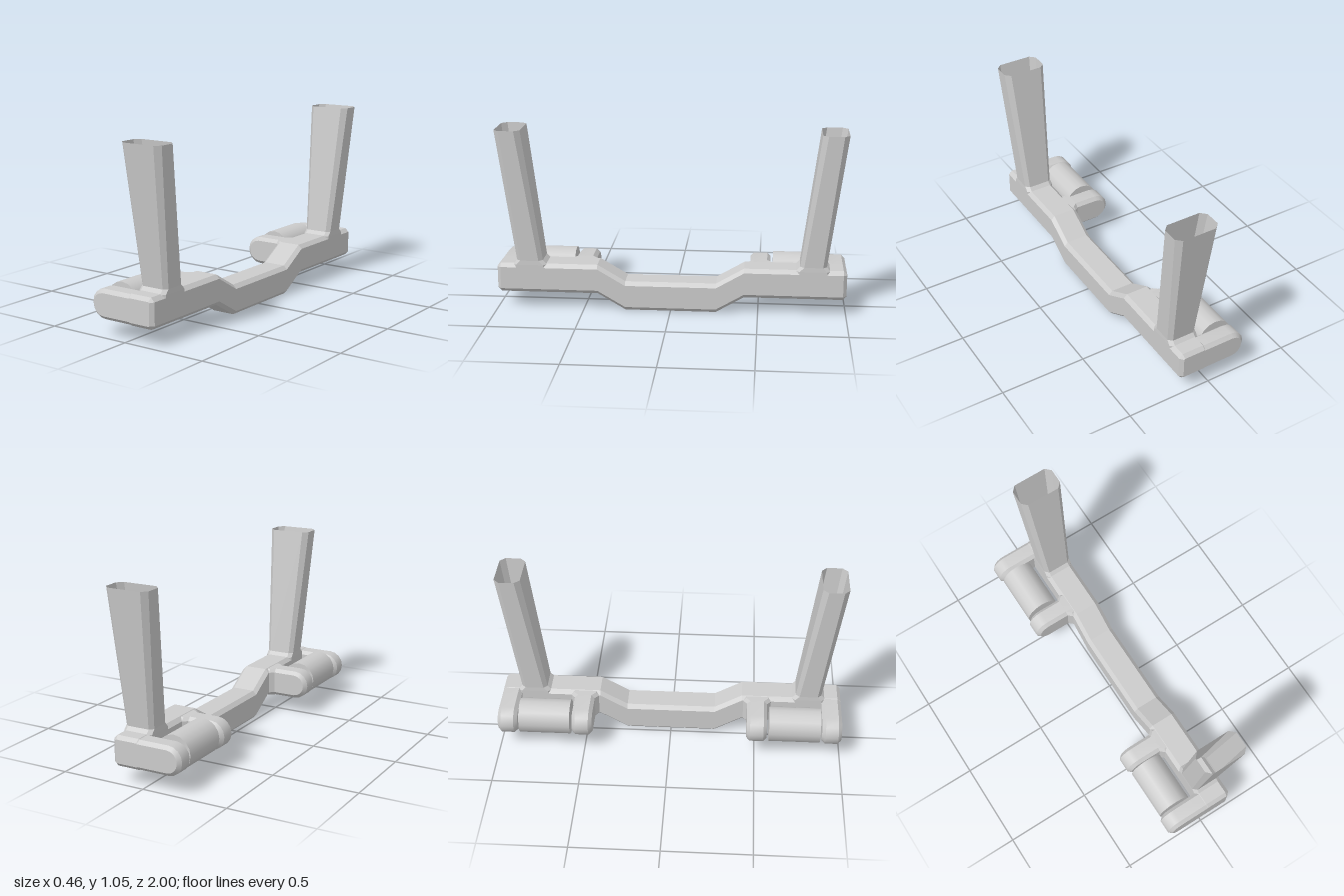
import * as THREE from 'three';
import { toCreasedNormals } from 'three/addons/utils/BufferGeometryUtils.js';

// Rectangle with cut corners, counter-clockwise
function octagon(hx, hy, c) {
  return [[hx, -hy + c], [hx, hy - c], [hx - c, hy], [-hx + c, hy],
    [-hx, hy - c], [-hx, -hy + c], [-hx + c, -hy], [hx - c, -hy]];
}

// Skin a list of equal-length rings of Vector3, flat shaded, with optional caps
function loft(rings, capped) {
  const pos = [];
  const tri = (a, b, c) => [a, b, c].forEach((v) => pos.push(v.x, v.y, v.z));
  const n = rings[0].length;
  for (let i = 0; i + 1 < rings.length; i++) {
    for (let j = 0; j < n; j++) {
      const k = (j + 1) % n;
      tri(rings[i][j], rings[i][k], rings[i + 1][k]);
      tri(rings[i][j], rings[i + 1][k], rings[i + 1][j]);
    }
  }
  if (capped) {
    const first = rings[0], last = rings[rings.length - 1];
    for (let j = 1; j + 1 < n; j++) {
      tri(first[0], first[j + 1], first[j]);
      tri(last[0], last[j], last[j + 1]);
    }
  }
  const g = new THREE.BufferGeometry();
  g.setAttribute('position', new THREE.Float32BufferAttribute(pos, 3));
  g.computeVertexNormals();
  return g;
}

export function createModel() {
  const model = new THREE.Group();
  const grey = new THREE.MeshStandardMaterial({ color: 0xcccccc });
  const thin = new THREE.MeshStandardMaterial({ color: 0xcccccc, side: THREE.DoubleSide });
  const add = (name, geometry, material = grey) => {
    const mesh = new THREE.Mesh(geometry, material);
    mesh.name = name;
    model.add(mesh);
    return mesh;
  };

  // Dropped beam running front to back: [z, centre y, inset]
  const half = [[0.26, 0.087, 0], [0.42, 0.181, 0], [0.98, 0.181, 0], [1, 0.181, 0.02]];
  const stations = [...half.map(([z, y, d]) => [-z, y, d]).reverse(), ...half];
  add('beam', loft(stations.map(([z, y, d]) =>
    octagon(0.0875 - d, 0.086 - d, d ? 0.005 : 0.022)
      .map(([a, b]) => new THREE.Vector3(0.0975 + a, y + b, z))), true));

  // Bevelled arm outline with a rounded outer end
  const bevel = 0.02;
  const outline = new THREE.Shape();
  outline.moveTo(0.1, 0.118);
  outline.lineTo(0.1, 0.244);
  for (let i = 0; i <= 8; i++) {
    const t = Math.PI / 2 + (i / 8) * Math.PI;
    outline.lineTo(-0.147 + 0.063 * Math.cos(t), 0.181 + 0.063 * Math.sin(t));
  }
  outline.closePath();
  const armGeometry = (z0, z1) => {
    const g = new THREE.ExtrudeGeometry(outline, {
      depth: z1 - z0 - 2 * bevel, bevelThickness: bevel, bevelSize: bevel, bevelSegments: 1,
    });
    g.translate(0, 0, z0 + bevel);
    return toCreasedNormals(g, 0.5);
  };

  // Flared root joining an arm to the beam, widening toward the beam
  const rootGeometry = (z0, z1) => loft([[-0.015, 0], [0.012, 0.024], [0.06, 0.024]].map(([x, f]) =>
    octagon((z1 - z0) / 2 + f, 0.083, 0.02)
      .map(([a, b]) => new THREE.Vector3(x, 0.181 + b, (z0 + z1) / 2 - a))), true);

  // Hollow tapered post leaning outward: [y, half x, z inner, z outer, corner cut]
  const postGeometry = (s) => loft([
    [0.235, 0.0875, 0.71, 0.91, 0.022],
    [0.262, 0.0875, 0.71, 0.908, 0.022],
    [0.287, 0.0865, 0.735, 0.885, 0.022],
    [1.05, 0.128, 0.838, 0.985, 0.03],
  ].map(([y, hx, z0, z1, c]) => octagon(hx, (z1 - z0) / 2, c)
    .map(([a, b]) => new THREE.Vector3(0.0975 + a, y, s * (z0 + z1) / 2 - b))), false);

  // Both ends mirror each other
  for (const [s, end] of [[1, 'front'], [-1, 'back']]) {
    const span = (a, b) => (s > 0 ? [a, b] : [-b, -a]);
    add(`${end}OuterArm`, armGeometry(...span(0.886, 1)));
    add(`${end}InnerArm`, armGeometry(...span(0.45, 0.568)));
    add(`${end}InnerArmRoot`, rootGeometry(...span(0.45, 0.568)));
    add(`${end}Post`, postGeometry(s), thin);

    // Roller held between the two arms
    const roller = add(`${end}Roller`, new THREE.CylinderGeometry(0.101, 0.101, 0.297, 16));
    roller.rotation.x = Math.PI / 2;
    roller.position.set(-0.117, 0.183, s * 0.729);
  }
  return model;
}
